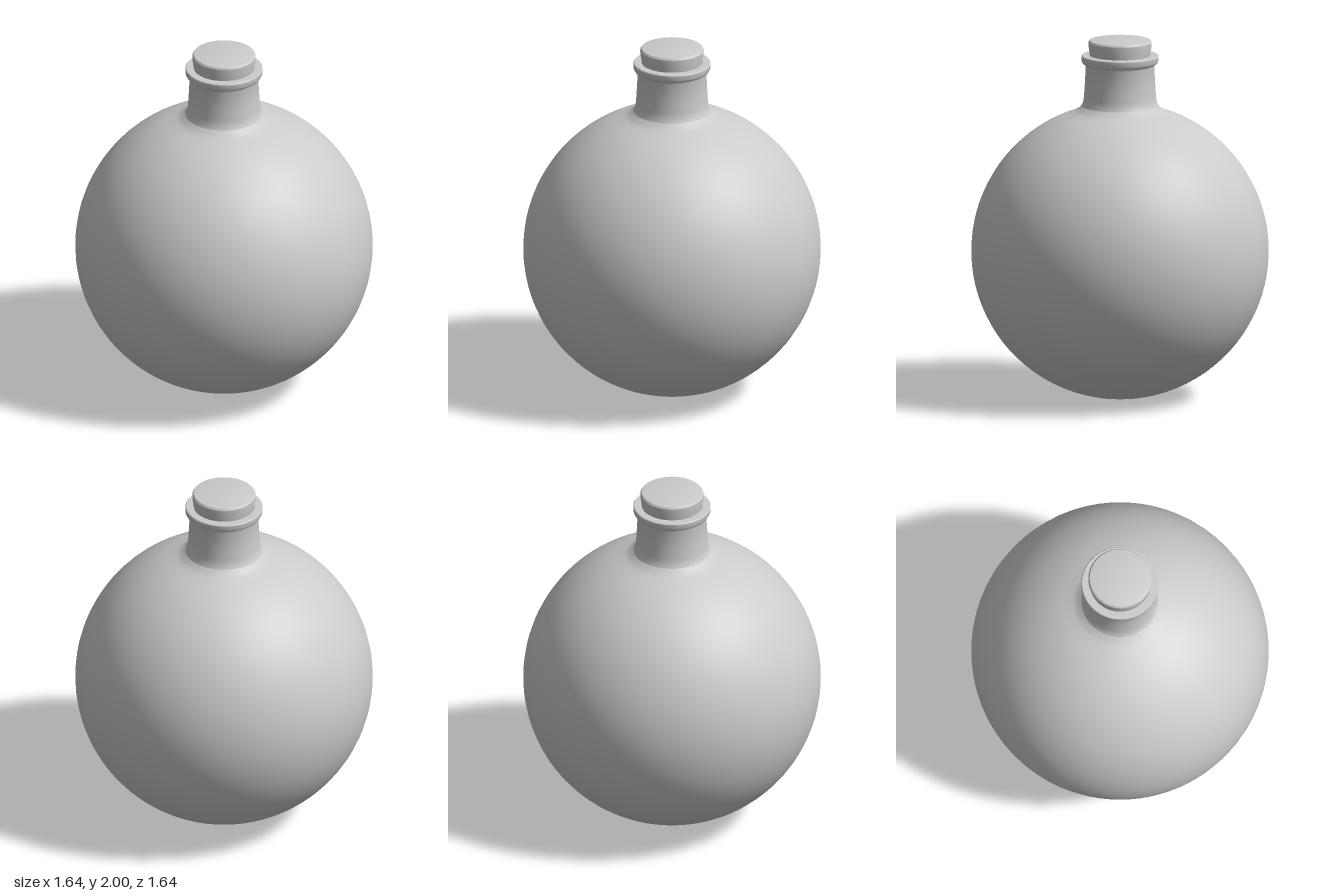
import * as THREE from 'three';
import { toCreasedNormals } from 'three/addons/utils/BufferGeometryUtils.js';

const material = new THREE.MeshStandardMaterial({ color: 0xcccccc });

// Turned part: profile of [radius, height] pairs, listed from bottom to top.
function turned(name, profile, sides, crease) {
  const points = profile.map(([r, y]) => new THREE.Vector2(r, y));
  let geometry = new THREE.LatheGeometry(points, sides);
  if (crease) geometry = toCreasedNormals(geometry, crease);
  const mesh = new THREE.Mesh(geometry, material);
  mesh.name = name;
  return mesh;
}

export function createModel() {
  const flask = new THREE.Group();
  flask.name = 'roundFlask';

  // Round body: a sphere left open where the shoulder rises into the neck
  const R = 0.82;
  const steps = 40;
  const end = Math.PI - Math.asin(0.26 / R);
  const body = [];
  for (let i = 0; i <= steps; i++) {
    const a = (i / steps) * end;
    body.push([R * Math.sin(a), R - R * Math.cos(a)]);
  }
  body.push([0.235, 1.612], [0.213, 1.632]);
  flask.add(turned('body', body, 64));

  // Neck flaring into the shoulder, with a rolled lip on top
  flask.add(turned('neck', [
    [0.213, 1.632], [0.204, 1.65], [0.199, 1.68], [0.195, 1.74], [0.189, 1.85],
    [0.192, 1.862], [0.206, 1.871], [0.212, 1.882], [0.213, 1.91],
    [0.209, 1.915], [0.168, 1.915], [0.16, 1.9],
  ], 64, 0.7));

  // Stopper, slightly tapered with a softened top edge
  flask.add(turned('stopper', [
    [0, 1.87], [0.16, 1.87], [0.167, 1.915], [0.175, 1.975],
    [0.175, 1.988], [0.168, 1.998], [0.16, 2], [0, 2],
  ], 32, 0.6));

  return flask;
}
